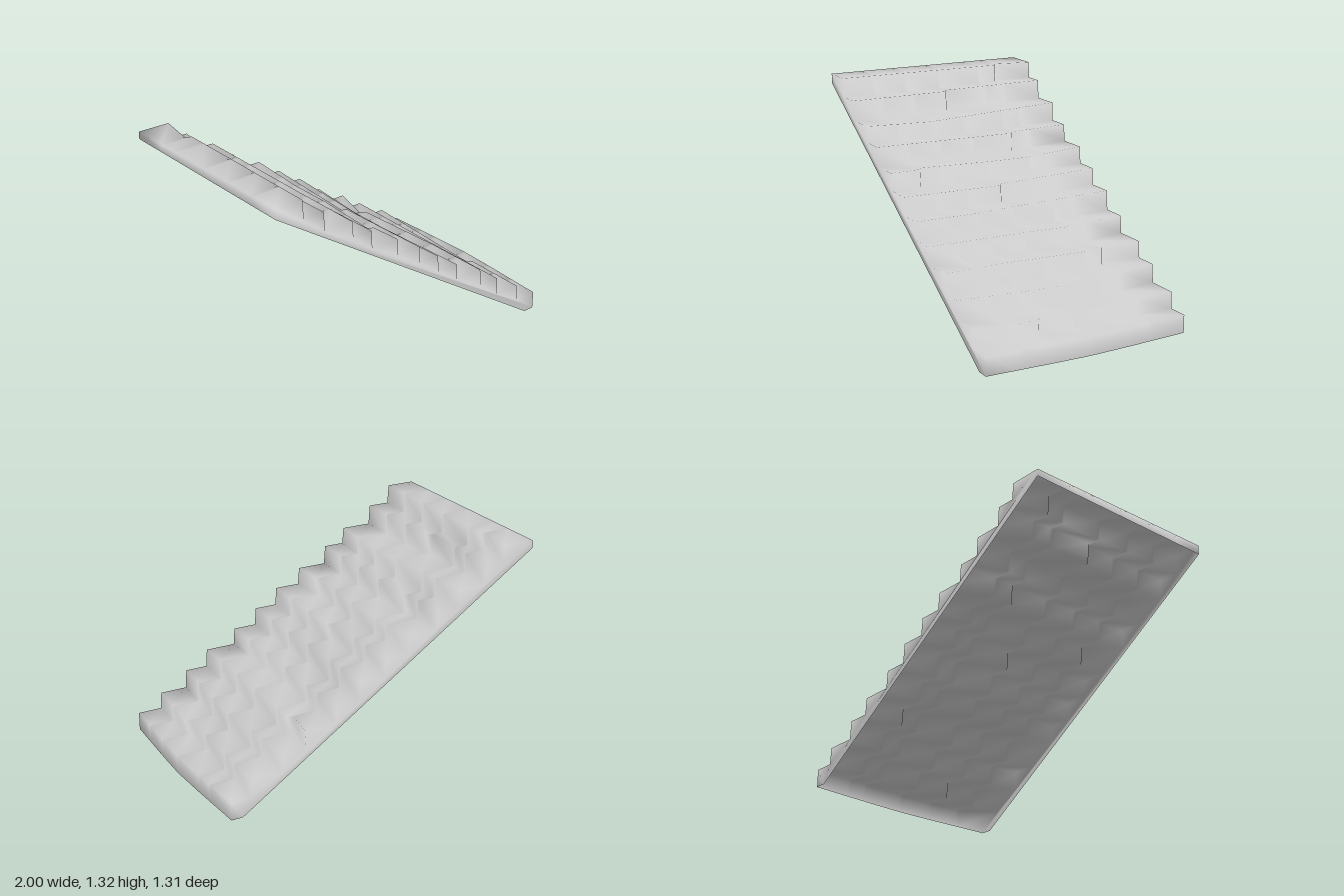
import * as THREE from 'three';
import { mergeGeometries, mergeVertices } from 'three/addons/utils/BufferGeometryUtils.js';

const HALF = 0.655; // half width of the flight
// z columns, with close pairs where a stone is set back from its neighbour
const COLUMNS = [-HALF, -0.42, -0.4, -0.295, -0.27, -0.01, 0.01, 0.22, 0.245, 0.44, 0.46, HALF];

// Each step, top to bottom: nosing as [z, x] points, tread height as [z, y] points
const STEPS = [
  { x: [[-HALF, -0.8], [-0.42, -0.84], [-0.4, -0.805], [HALF, -0.825]], y: [[-HALF, 1.3], [HALF, 1.315]] },
  { x: [[-HALF, -0.68], [-0.01, -0.735], [0.01, -0.7], [HALF, -0.685]], y: [[-HALF, 1.2], [0, 1.19], [HALF, 1.2]] },
  { x: [[-HALF, -0.5], [0.25, -0.475], [HALF, -0.49]], y: [[-HALF, 1.085], [0.23, 1.065], [HALF, 1.08]] },
  { x: [[-HALF, -0.355], [-0.295, -0.39], [-0.27, -0.36], [HALF, -0.355]], y: [[-HALF, 0.97], [-0.28, 0.957], [HALF, 0.98]] },
  { x: [[-HALF, -0.165], [0, -0.17], [0.44, -0.205], [0.46, -0.175], [HALF, -0.165]], y: [[-HALF, 0.865], [-0.28, 0.845], [HALF, 0.865]] },
  { x: [[-HALF, -0.015], [-0.01, -0.03], [0.01, 0], [HALF, 0]], y: [[-HALF, 0.76], [0, 0.743], [HALF, 0.76]] },
  { x: [[-HALF, 0.148], [0, 0.13], [HALF, 0.148]], y: [[-HALF, 0.655], [0.23, 0.638], [HALF, 0.65]] },
  { x: [[-HALF, 0.302], [0, 0.285], [HALF, 0.3]], y: [[-HALF, 0.535], [-0.28, 0.518], [HALF, 0.542]] },
  { x: [[-HALF, 0.5], [-0.42, 0.45], [-0.4, 0.485], [HALF, 0.495]], y: [[-HALF, 0.427], [-0.41, 0.412], [0.25, 0.437], [HALF, 0.438]] },
  { x: [[-HALF, 0.645], [0, 0.665], [HALF, 0.64]], y: [[-HALF, 0.325], [0, 0.305], [HALF, 0.328]] },
  { x: [[-HALF, 0.84], [0.22, 0.805], [0.245, 0.835], [HALF, 0.815]], y: [[-HALF, 0.212], [0.23, 0.2], [HALF, 0.213]] },
  { x: [[-HALF, 0.97], [-0.28, 0.99], [0, 1], [0.23, 0.992], [HALF, 0.97]], y: [[-HALF, 0.11], [HALF, 0.11]] },
];

// Straight-line interpolation through [position, value] points
function sample(points, z) {
  let i = 0;
  while (i < points.length - 2 && z > points[i + 1][0]) i++;
  const [z0, v0] = points[i];
  const [z1, v1] = points[i + 1];
  return v0 + ((v1 - v0) * (z - z0)) / (z1 - z0);
}

// Stepped profile of the flight at one z, from the back wall down to the ground
function profileAt(z) {
  const points = [[-1, 1.255], [-1, sample(STEPS[0].y, z)]];
  STEPS.forEach((step, i) => {
    const x = sample(step.x, z);
    const next = STEPS[i + 1];
    points.push([x, sample(step.y, z)]);
    points.push(next ? [x + 0.008, sample(next.y, z)] : [x, 0]);
  });
  return points;
}

// Treads and risers as one sheet lofted across the columns
function stepSheet() {
  const positions = [];
  const index = [];
  const rows = STEPS.length * 2 + 2;
  COLUMNS.forEach((z, j) => {
    profileAt(z).forEach(([x, y], i) => {
      positions.push(x, y, z);
      if (i === rows - 1 || j === COLUMNS.length - 1) return;
      const a = j * rows + i;
      const c = a + rows;
      index.push(a, c, a + 1, c, c + 1, a + 1);
    });
  });
  const geometry = new THREE.BufferGeometry();
  geometry.setAttribute('position', new THREE.Float32BufferAttribute(positions, 3));
  geometry.setIndex(index);
  return geometry;
}

// Side wall between the stepped edge and the sloping bottom edge
function sideWall(z) {
  const outline = [...profileAt(z), [0.9, 0]].map(([x, y]) => new THREE.Vector2(x, y));
  const geometry = new THREE.ShapeGeometry(new THREE.Shape(outline));
  geometry.translate(0, 0, z);
  geometry.deleteAttribute('normal');
  geometry.deleteAttribute('uv');
  if (z < 0) geometry.setIndex(Array.from(geometry.index.array).reverse());
  return geometry;
}

export function createModel() {
  const group = new THREE.Group();
  group.name = 'stoneStairs';

  // Welded so the worn stone shades softly over its edges; open underneath
  const geometry = mergeVertices(mergeGeometries([stepSheet(), sideWall(HALF), sideWall(-HALF)]));
  geometry.computeVertexNormals();

  const material = new THREE.MeshStandardMaterial({ color: 0xcccccc, side: THREE.DoubleSide });
  const stairs = new THREE.Mesh(geometry, material);
  stairs.name = 'stairFlight';
  group.add(stairs);
  return group;
}
